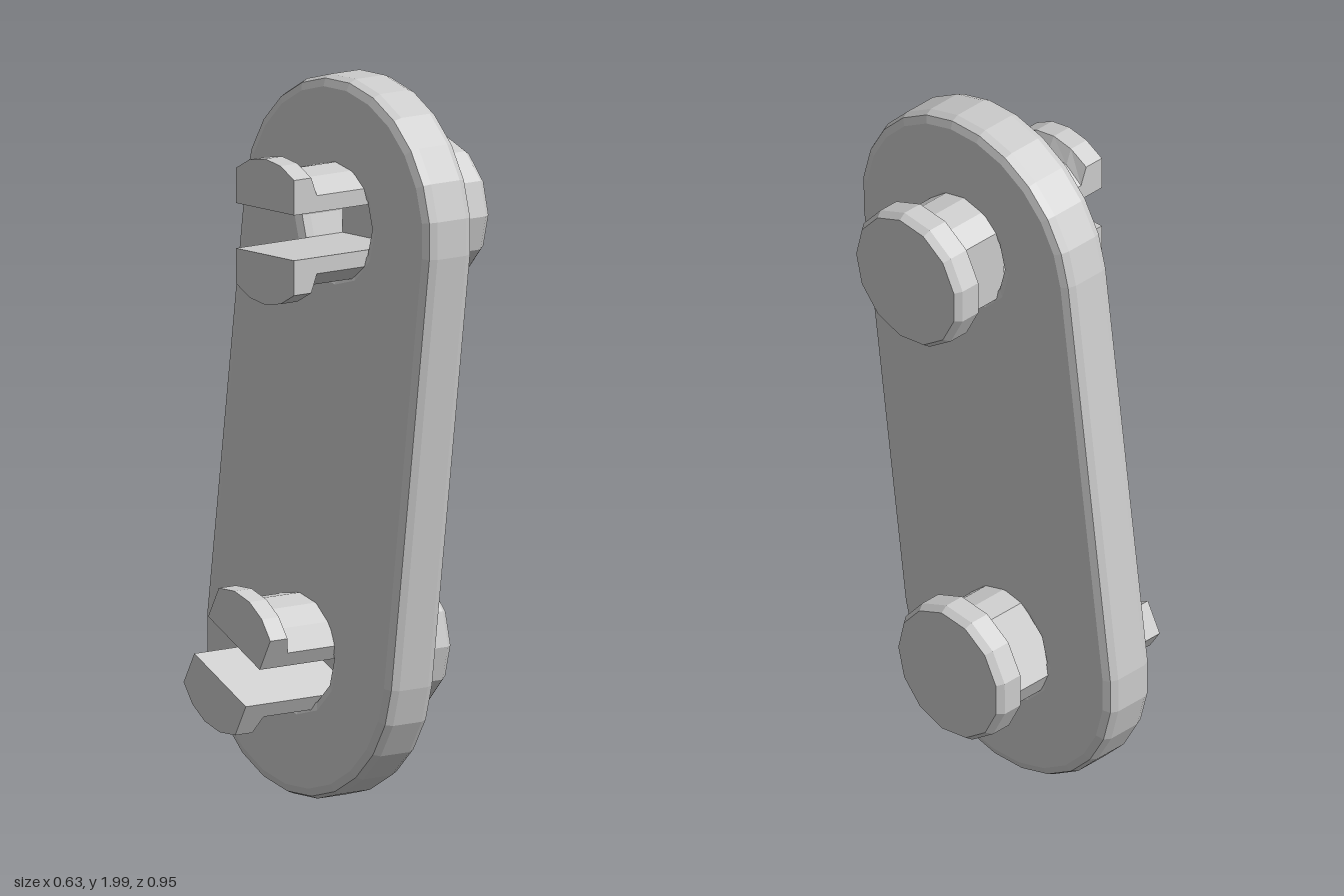
import * as THREE from 'three';

const material = new THREE.MeshStandardMaterial({ color: 0xcccccc, flatShading: true });
const FLAT = 0.123; // half width between the flats of a pin

function named(geometry, name) {
  const mesh = new THREE.Mesh(geometry, material);
  mesh.name = name;
  return mesh;
}

// Half pin cross-section as [z, y]: arc on top, flats at the sides
function halfSection(radius, yMin, steps = 4) {
  const start = Math.acos(FLAT / radius);
  const points = [[FLAT, yMin]];
  for (let i = 0; i <= steps; i++) {
    const a = start + (Math.PI - 2 * start) * i / steps;
    points.push([radius * Math.cos(a), radius * Math.sin(a)]);
  }
  points.push([-FLAT, yMin]);
  return points;
}

// Joins cross-sections along x and caps both ends
function loft(sections) {
  const positions = [], index = [];
  const n = sections[0].points.length;
  for (const s of sections) for (const [z, y] of s.points) positions.push(s.x, y, z);
  for (let i = 0; i < sections.length - 1; i++) {
    for (let j = 0; j < n; j++) {
      const k = (j + 1) % n;
      const a = i * n + j, b = a + n, c = (i + 1) * n + k, d = i * n + k;
      index.push(a, b, c, a, c, d);
    }
  }
  const last = (sections.length - 1) * n;
  for (let j = 1; j < n - 1; j++) {
    index.push(0, j, j + 1, last, last + j + 1, last + j);
  }
  const geometry = new THREE.BufferGeometry();
  geometry.setAttribute('position', new THREE.Float32BufferAttribute(positions, 3));
  geometry.setIndex(index);
  const flat = geometry.toNonIndexed();
  flat.computeVertexNormals();
  return flat;
}

function createPin(name, y, z, turn) {
  const pin = new THREE.Group();
  pin.name = name;

  // Two mirrored halves: barb, prong beside the slot, then solid shank
  const profile = [
    [-0.315, 0.2, 0.062], [-0.255, 0.2, 0.062], [-0.235, 0.163, 0.062],
    [0.06, 0.163, 0.062], [0.06, 0.163, 0], [0.24, 0.163, 0],
  ];
  const half = loft(profile.map(([x, r, yMin]) => ({ x, points: halfSection(r, yMin) })));
  for (const side of [0, 1]) {
    const prong = named(half, side ? 'lowerProng' : 'upperProng');
    prong.rotation.x = side * Math.PI;
    pin.add(prong);
  }

  // Chamfered head
  const head = new THREE.LatheGeometry([
    [0, 0.232], [0.202, 0.232], [0.202, 0.292], [0.188, 0.312], [0, 0.312],
  ].map(([r, h]) => new THREE.Vector2(r, h)), 13);
  head.rotateZ(-Math.PI / 2);
  pin.add(named(head, 'pinHead'));

  pin.position.set(0, y, z);
  pin.rotation.x = turn;
  return pin;
}

function createPlate() {
  const bevel = 0.03, tilt = Math.atan2(0.16, 1.2), r = 0.4 - bevel;
  // Outline drawn with the shape's x standing for -z
  const shape = new THREE.Shape();
  shape.absarc(-0.08, 1.6, r, tilt, tilt + Math.PI);
  shape.absarc(0.08, 0.4, r, tilt + Math.PI, tilt + 2 * Math.PI);
  for (const [x, y] of [[-0.08, 1.6], [0.08, 0.4]]) {
    const hole = new THREE.Path();
    hole.absarc(x, y, 0.17, 0, Math.PI * 2, true);
    shape.holes.push(hole);
  }
  const geometry = new THREE.ExtrudeGeometry(shape, {
    depth: 0.1, bevelThickness: bevel, bevelSize: bevel, bevelSegments: 2, curveSegments: 6,
  });
  geometry.translate(0, 0, -0.04);
  geometry.rotateY(Math.PI / 2);
  return named(geometry, 'linkPlate');
}

export function createModel() {
  const model = new THREE.Group();
  model.name = 'chainLink';
  model.add(createPlate());
  model.add(createPin('upperPin', 1.603, 0.08, 0));
  model.add(createPin('lowerPin', 0.403, -0.08, 0.49));
  return model;
}
